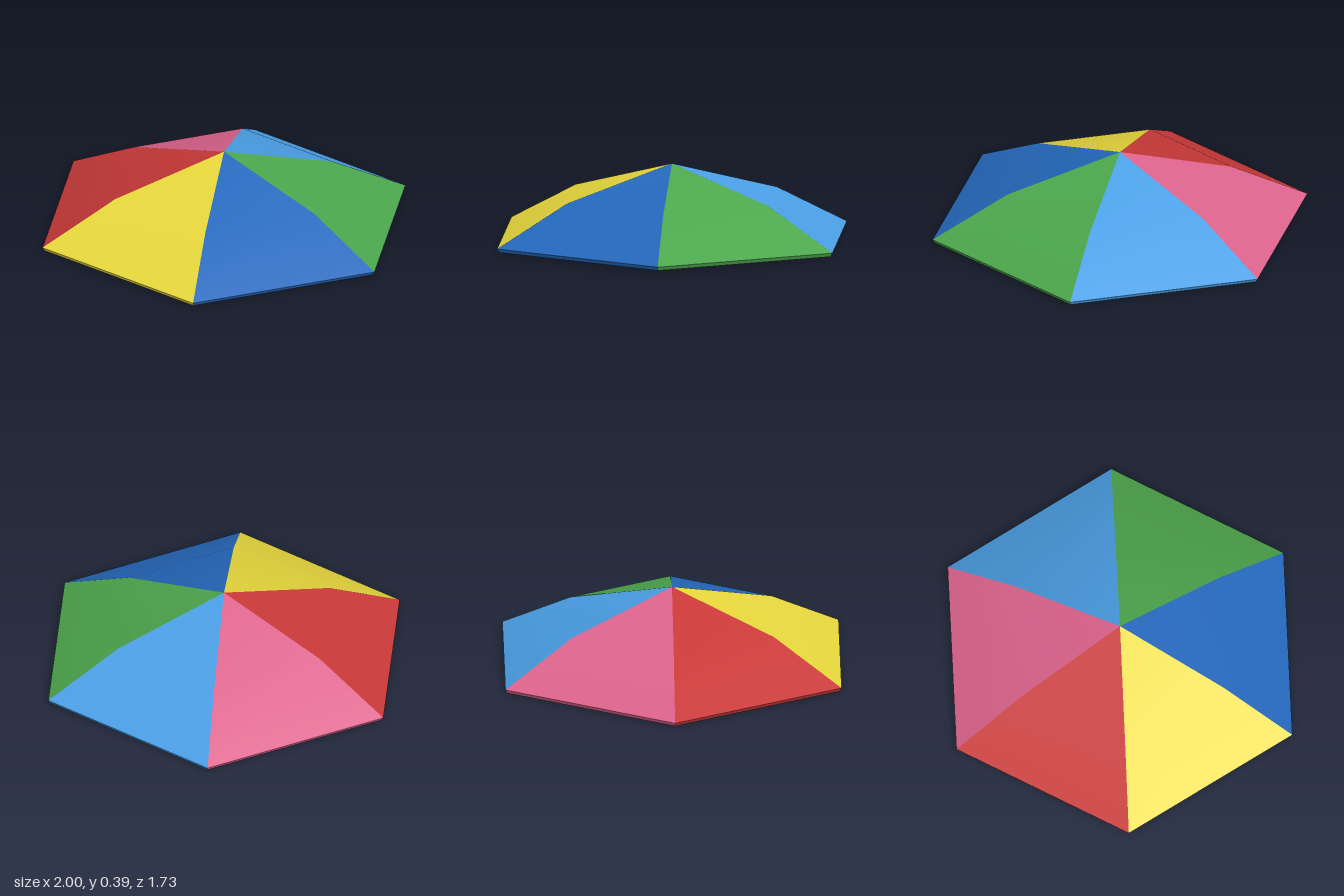
import * as THREE from 'three';
import { mergeGeometries } from 'three/addons/utils/BufferGeometryUtils.js';

const material = (name, color) => {
  const m = new THREE.MeshStandardMaterial({ color });
  m.name = name;
  return m;
};

// One 60 degree wedge of a profile [radius, height], smooth along the profile
function wedge(profile, start) {
  const positions = [], index = [];
  for (const [r, y] of profile) {
    for (const a of [start, start + Math.PI / 3]) {
      positions.push(r * Math.cos(a), y, r * Math.sin(a));
    }
  }
  for (let i = 0; i < profile.length - 1; i++) {
    const k = i * 2;
    index.push(k, k + 1, k + 3, k, k + 3, k + 2);
  }
  const g = new THREE.BufferGeometry();
  g.setAttribute('position', new THREE.Float32BufferAttribute(positions, 3));
  g.setIndex(index);
  g.computeVertexNormals();
  return g;
}

export function createModel() {
  const group = new THREE.Group();
  group.name = 'umbrellaHat';

  const blue = material('blue', 0x2468bc);
  const panels = [
    ['frontLeftPanel', blue],
    ['frontPanel', material('yellow', 0xe8d83c)],
    ['frontRightPanel', material('red', 0xc83838)],
    ['backRightPanel', material('pink', 0xdc628c)],
    ['backPanel', material('lightBlue', 0x4a9fe6)],
    ['backLeftPanel', material('green', 0x4ca64c)],
  ];

  // Canopy: outer skin, bevelled rim and inner skin, with sharp edges between
  const strips = [
    [[0, 0.394], [0.6, 0.228], [1, 0.02]],
    [[1, 0.02], [0.988, 0.0]],
    [[0.988, 0.0], [0.965, 0.006]],
    [[0.965, 0.006], [0.59, 0.205], [0, 0.37]],
  ];
  panels.forEach(([name, mat], i) => {
    const geometry = mergeGeometries(strips.map((s) => wedge(s, (i * Math.PI) / 3)));
    const mesh = new THREE.Mesh(geometry, mat);
    mesh.name = name;
    group.add(mesh);
  });

  // Head band: faceted ring with bevelled edges under the canopy
  const bandProfile = [
    [0.345, 0.02], [0.37, 0.045], [0.37, 0.215], [0.345, 0.24],
    [0.33, 0.24], [0.31, 0.215], [0.31, 0.045], [0.325, 0.02], [0.345, 0.02],
  ].map(([r, y]) => new THREE.Vector2(r, y));
  const bandGeometry = new THREE.LatheGeometry(bandProfile, 16).toNonIndexed();
  bandGeometry.computeVertexNormals();
  const band = new THREE.Mesh(bandGeometry, blue);
  band.name = 'headBand';
  group.add(band);

  return group;
}
